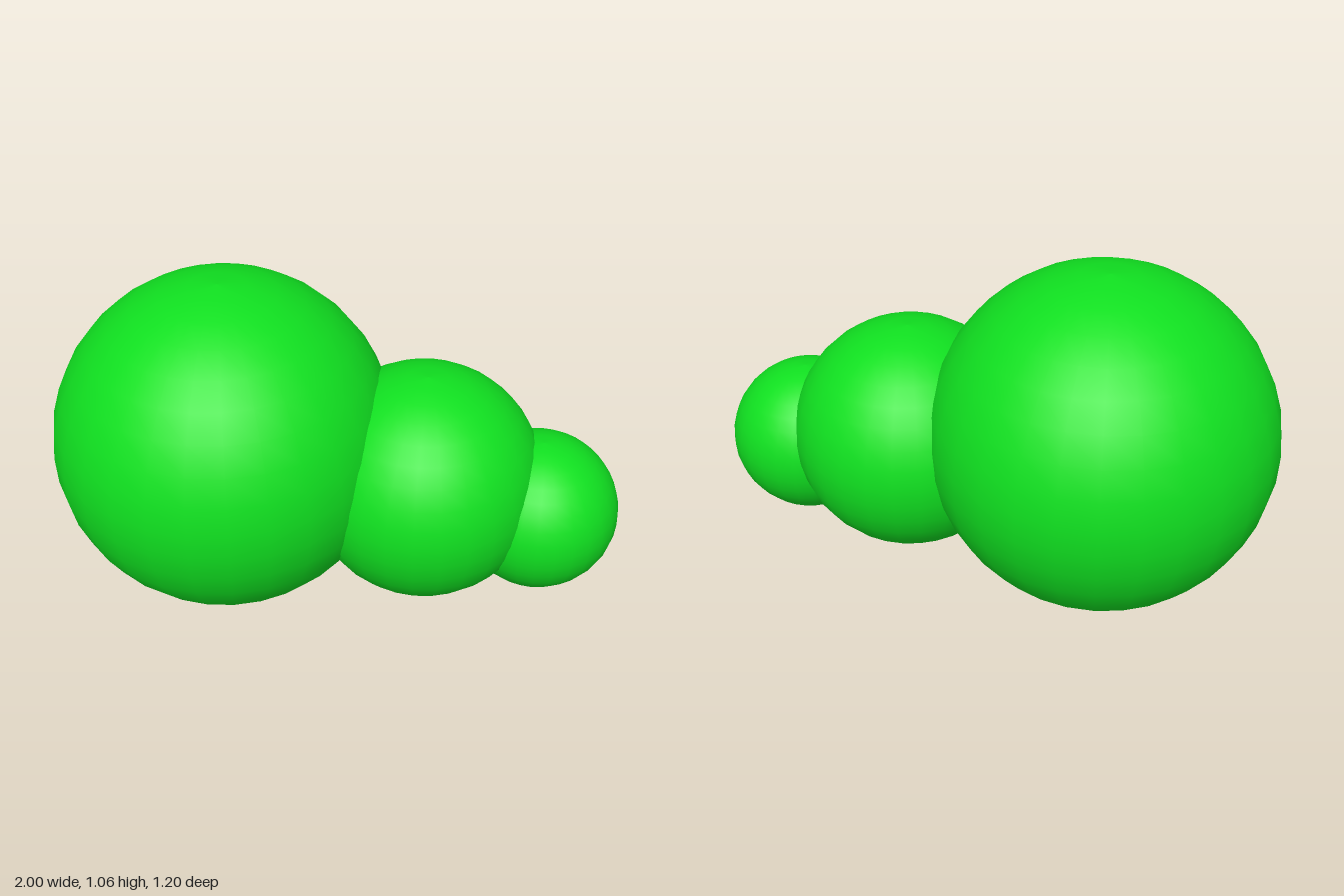
import * as THREE from 'three';

const green = new THREE.MeshStandardMaterial({ color: 0x10e020 });

// Ball cut by a nearly flat, slightly bulging base
function cutBall(name, x, y, radius, cutY, baseY) {
  const start = Math.asin((cutY - y) / radius);
  const edge = radius * Math.cos(start);
  const points = [
    new THREE.Vector2(0, baseY),
    new THREE.Vector2(edge * 0.9, baseY + 0.004),
    new THREE.Vector2(edge * 0.97, baseY + (cutY - baseY) * 0.5),
  ];
  const steps = 14;
  for (let i = 0; i <= steps; i++) {
    const a = start + (Math.PI / 2 - start) * (i / steps);
    points.push(new THREE.Vector2(i === steps ? 0 : radius * Math.cos(a), y + radius * Math.sin(a)));
  }
  const mesh = new THREE.Mesh(new THREE.LatheGeometry(points, 28), green);
  mesh.name = name;
  mesh.position.x = x;
  return mesh;
}

export function createModel() {
  const group = new THREE.Group();
  group.name = 'bush';
  // Three overlapping balls, shrinking toward +x
  group.add(
    cutBall('largeBall', -0.397, 0.455, 0.603, 0.02, 0),
    cutBall('mediumBall', 0.31, 0.338, 0.42, 0.025, 0.011),
    cutBall('smallBall', 0.718, 0.245, 0.282, 0.028, 0.016),
  );
  return group;
}
